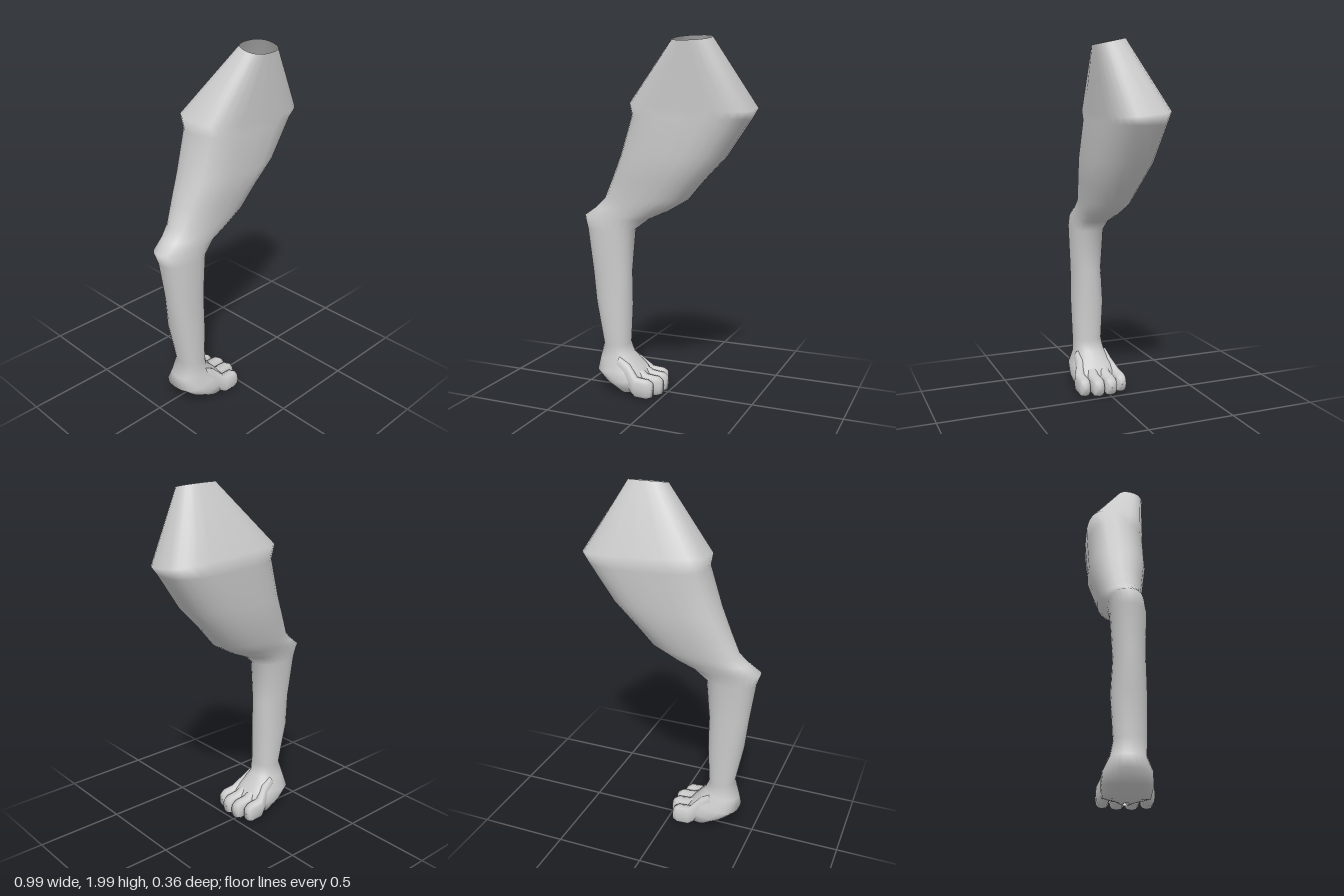
import * as THREE from 'three';

const material = new THREE.MeshStandardMaterial({ color: 0xcccccc, side: THREE.DoubleSide });

// Skin a tube over rings: [ax, ay, bx, by, zMin, zMax, squareness, tilt].
// Points a and b are the two ends of the ring in the side plane.
function loft(name, rings, n) {
  const pos = [], index = [];
  const round = (v, e) => Math.sign(v) * Math.pow(Math.abs(v), 2 / e);
  for (const [ax, ay, bx, by, z0, z1, e = 2.2, tilt = 0] of rings) {
    for (let j = 0; j < n; j++) {
      const t = (j / n) * Math.PI * 2;
      const u = round(Math.cos(t), e) / 2;
      const w = (round(Math.sin(t), e) * (z1 - z0)) / 2;
      pos.push((ax + bx) / 2 + u * (bx - ax), (ay + by) / 2 + u * (by - ay) - w * tilt, (z0 + z1) / 2 + w);
    }
  }
  for (let i = 0; i < rings.length - 1; i++) {
    for (let j = 0; j < n; j++) {
      const a = i * n + j, b = i * n + ((j + 1) % n);
      index.push(a, b, a + n, b, b + n, a + n);
    }
  }
  const geometry = new THREE.BufferGeometry();
  geometry.setAttribute('position', new THREE.Float32BufferAttribute(pos, 3));
  geometry.setIndex(index);
  geometry.computeVertexNormals();
  const mesh = new THREE.Mesh(geometry, material);
  mesh.name = name;
  return mesh;
}

export function createModel() {
  const group = new THREE.Group();
  group.name = 'animalLeg';

  // Upper leg, open at the top, down to the pointed joint
  const thigh = [
    [0.065, 1.98, 0.28, 1.98, 0.01, 0.17, 2.4, 0.22],
    [-0.21, 1.65, 0.49, 1.61, -0.18, 0.155, 3.4, 0.1],
    [-0.2, 1.58, 0.46, 1.56, -0.175, 0.155, 3.0],
    [-0.27, 1.36, 0.33, 1.36, -0.165, 0.16, 2.6],
    [-0.33, 1.22, 0.21, 1.23, -0.14, 0.14, 2.4],
    [-0.38, 1.11, 0.12, 1.12, -0.115, 0.125],
    [-0.43, 1.06, 0, 1.05, -0.09, 0.12],
    [-0.5, 1.01, -0.11, 1.0, -0.07, 0.12],
  ];
  // Lower leg, heel and sole
  const shin = [
    [-0.475, 0.94, -0.19, 0.94, -0.06, 0.13],
    [-0.44, 0.7, -0.21, 0.7, -0.045, 0.125],
    [-0.42, 0.52, -0.21, 0.5, -0.055, 0.13],
    [-0.37, 0.28, -0.22, 0.28, -0.04, 0.13],
    [-0.4, 0.19, -0.2, 0.22, -0.055, 0.125],
    [-0.41, 0.12, -0.14, 0.15, -0.09, 0.155, 2.6],
    [-0.34, 0.06, -0.1, 0.1, -0.095, 0.165, 2.6],
    [-0.25, 0.01, -0.08, 0.05, -0.085, 0.155, 2.6],
    [-0.2, 0.005, -0.1, 0.01, 0.02, 0.05],
  ];
  group.add(loft('leg', [...thigh, ...shin], 24));

  // Four toes side by side, the middle two longer
  const toes = [[0.145, -0.035, 0.036], [0.072, -0.005, 0.039], [-0.003, -0.005, 0.039], [-0.077, -0.035, 0.036]];
  toes.forEach(([z, tip, r], k) => {
    const zRoot = 0.035 + (z - 0.035) * 0.75;
    group.add(loft('toe' + (k + 1), [
      [-0.27, 0.14, -0.25, 0.215, zRoot - 0.02, zRoot + 0.02],
      [-0.2, 0.04, -0.19, 0.18, zRoot - r, zRoot + r],
      [tip - 0.1, 0.005, tip - 0.1, 0.12, z - r, z + r, 2.6],
      [tip - 0.03, 0.003, tip - 0.03, 0.113, z - r, z + r, 2.8],
      [tip - 0.005, 0.012, tip - 0.005, 0.098, z - r * 0.8, z + r * 0.8, 2.6],
      [tip, 0.054, tip, 0.056, z - 0.002, z + 0.002],
    ], 12));
  });
  return group;
}
